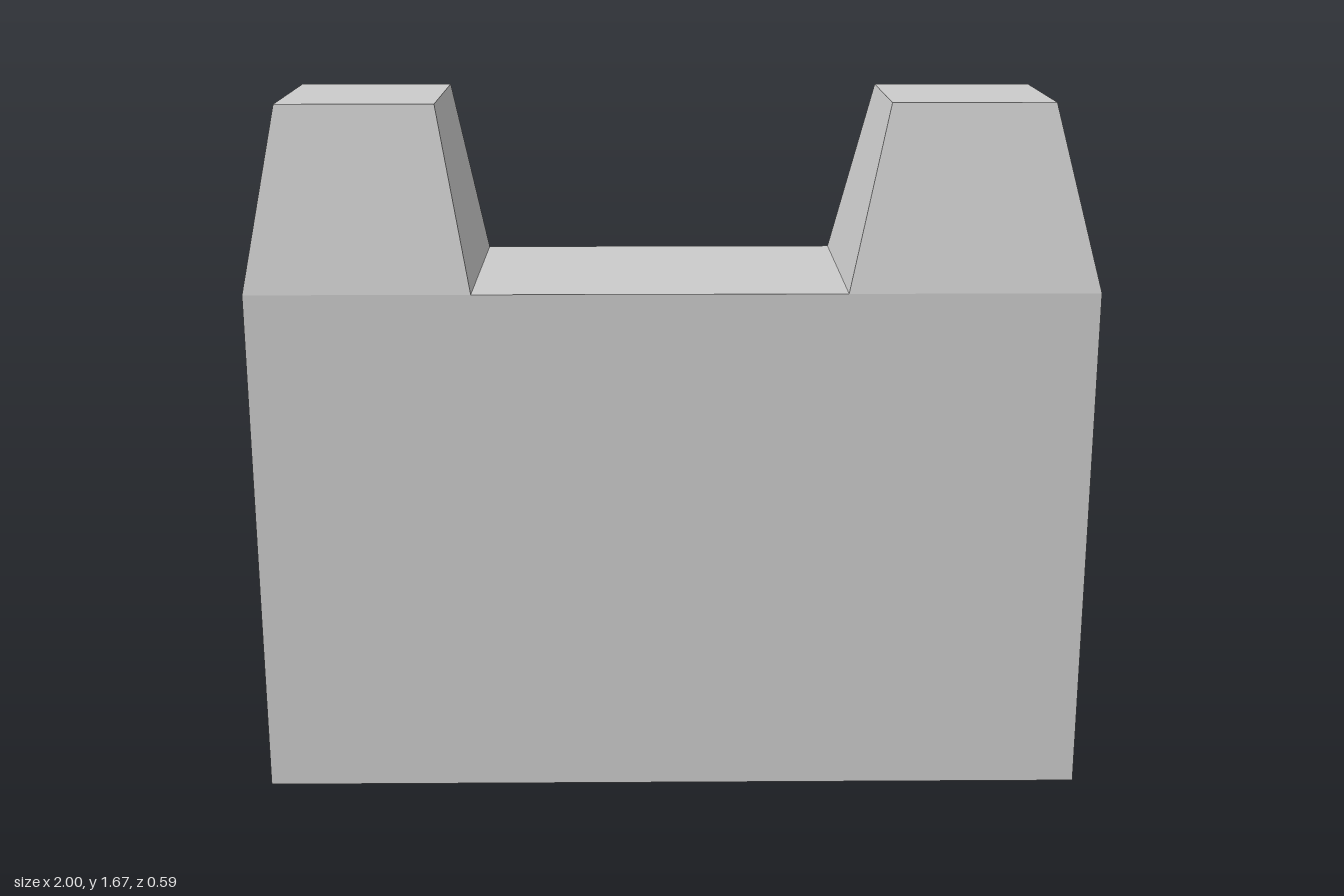
import * as THREE from 'three';

const BODY_HEIGHT = 1.245;
const TOWER_HEIGHT = 0.43;
const DEPTH = 0.586;

// Box whose top face is narrowed to the given x range and depth
function taperedBlock(baseX0, baseX1, topX0, topX1, topDepth) {
  const geometry = new THREE.BoxGeometry(1, TOWER_HEIGHT, 1);
  const p = geometry.attributes.position;
  for (let i = 0; i < p.count; i++) {
    const top = p.getY(i) > 0;
    const [x0, x1, depth] = top ? [topX0, topX1, topDepth] : [baseX0, baseX1, DEPTH];
    p.setX(i, p.getX(i) < 0 ? x0 : x1);
    p.setZ(i, p.getZ(i) * depth);
  }
  geometry.translate(0, BODY_HEIGHT + TOWER_HEIGHT / 2, 0);
  geometry.computeVertexNormals();
  return geometry;
}

export function createModel() {
  const group = new THREE.Group();
  const material = new THREE.MeshStandardMaterial({ color: 0xcccccc, flatShading: true });
  const add = (name, geometry) => {
    const mesh = new THREE.Mesh(geometry, material);
    mesh.name = name;
    group.add(mesh);
  };

  // Main slab
  add('body', new THREE.BoxGeometry(2, BODY_HEIGHT, DEPTH).translate(0, BODY_HEIGHT / 2, 0));

  // Tapered end blocks, slightly different in size
  add('rightBlock', taperedBlock(-1, -0.47, -0.92, -0.55, 0.41));
  add('leftBlock', taperedBlock(0.41, 1, 0.51, 0.893, 0.38));

  return group;
}
